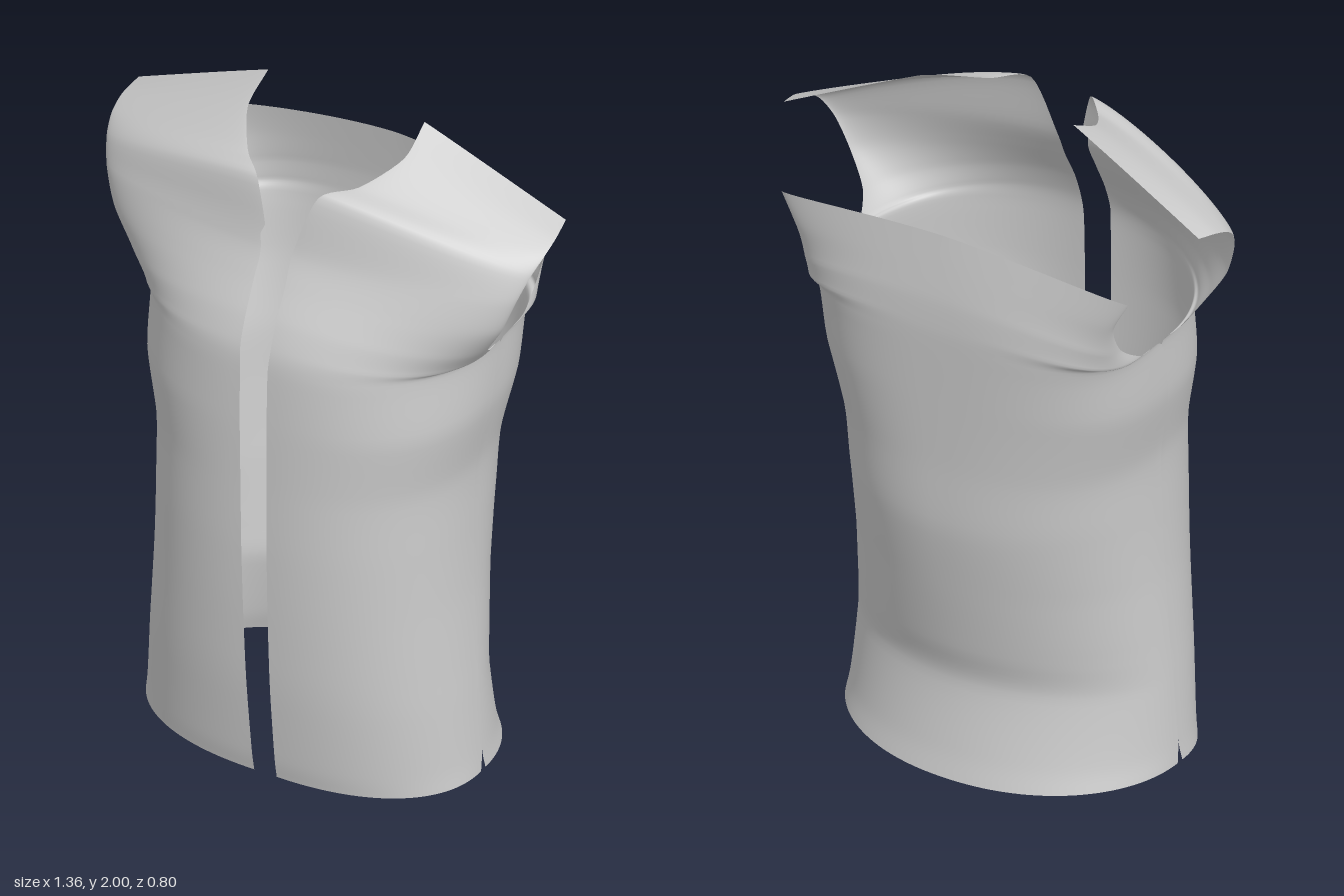
import * as THREE from 'three';

const cloth = new THREE.MeshStandardMaterial({ color: 0xcccccc, side: THREE.DoubleSide });

// Torso from hem to underarm: y, side x, side z, front z, back z, front roundness, back roundness
const torso = [
  [0.02, 0.505, 0.03, 0.345, -0.36, 0.9, 0.95],
  [0.09, 0.5, 0.03, 0.357, -0.337, 0.9, 0.98],
  [0.28, 0.488, 0.025, 0.377, -0.302, 0.9, 1.03],
  [0.4, 0.48, 0.02, 0.386, -0.325, 0.9, 1.03],
  [0.6, 0.468, 0.015, 0.395, -0.36, 0.9, 0.98],
  [0.8, 0.463, 0.01, 0.4, -0.388, 0.9, 0.9],
  [1.0, 0.465, 0, 0.4, -0.39, 0.9, 0.8],
  [1.2, 0.5, -0.02, 0.4, -0.395, 0.88, 0.7],
  [1.38, 0.505, -0.06, 0.395, -0.4, 0.9, 0.63],
];

// Rows above the underarm: centre x, y, z, then armhole x, y, z, then roundness (1 ellipse, 2 straight)
const frontTop = [
  [0.043, 1.45, 0.385, 0.515, 1.4, 0.01, 0.97],
  [0.043, 1.53, 0.355, 0.55, 1.46, 0.08, 1.1],
  [0.044, 1.62, 0.307, 0.605, 1.55, 0.105, 1.25],
  [0.045, 1.71, 0.267, 0.642, 1.65, 0.088, 1.35],
  [0.1, 1.885, 0.225, 0.665, 1.72, 0.05, 1.5],
  [0.18, 1.898, 0.14, 0.678, 1.76, 0, 1.65],
  [0.25, 1.945, 0.02, 0.68, 1.785, -0.06, 1.85],
  [0.25, 2, -0.09, 0.67, 1.8, -0.13, 1.95],
];
const backTop = [
  [0, 1.44, -0.4, 0.51, 1.4, -0.17, 0.66],
  [0, 1.52, -0.395, 0.502, 1.46, -0.26, 0.8],
  [0, 1.62, -0.38, 0.51, 1.55, -0.308, 1.05],
  [0, 1.71, -0.365, 0.56, 1.645, -0.31, 1.3],
];

const frontRows = [
  ...torso.map(([y, x, z, f, , p], i) => [0.04, y, f, x, y, i ? z : 0.043, p]),
  ...frontTop,
];
const backRows = [
  ...torso.map(([y, x, z, , b, , p], i) => [0, i ? y : 0, b, x, y, i ? z : 0.02, p]),
  ...backTop,
];

// Lofts a cloth panel: each row is a superellipse arc from its centre point to its side point.
// u runs from u0 to 1, where negative u mirrors the arc to the other side.
function panel(name, rows, u0, mirrored, flip) {
  const spline = (a) => new THREE.CatmullRomCurve3(
    rows.map((r) => new THREE.Vector3(r[a], r[a + 1], r[a + 2])), false, 'catmullrom', 0.4);
  const centre = spline(0), side = spline(3);
  const nv = (rows.length - 1) * 6, nu = u0 < 0 ? 72 : 36;
  const pos = [], index = [];
  for (let j = 0; j <= nv; j++) {
    const t = j / nv, c = centre.getPoint(t), e = side.getPoint(t);
    const k = Math.min(Math.floor(j / 6), rows.length - 2);
    const p = THREE.MathUtils.lerp(rows[k][6], rows[k + 1][6], j / 6 - k);
    // the right front opening leans slightly away from the left one
    if (mirrored) c.x += 0.02 * Math.min(c.y / 1.7, 1) * (c.y < 1.75 ? 1 : 0) - 0.01;
    for (let i = 0; i <= nu; i++) {
      const u = u0 + (1 - u0) * i / nu, a = Math.abs(u) * Math.PI / 2;
      const s = Math.sin(a), q = Math.max(Math.cos(a), 0);
      const x = c.x + (e.x - c.x) * s ** p;
      pos.push(
        (u < 0 || mirrored ? -1 : 1) * x,
        c.y + (e.y - c.y) * s * s,
        e.z + (c.z - e.z) * q ** p);
      if (i < nu && j < nv) {
        const A = j * (nu + 1) + i, B = A + 1, C = A + nu + 1, D = C + 1;
        if (flip) index.push(A, C, B, B, C, D);
        else index.push(A, B, C, B, D, C);
      }
    }
  }
  const g = new THREE.BufferGeometry();
  g.setAttribute('position', new THREE.Float32BufferAttribute(pos, 3));
  g.setIndex(index);
  g.computeVertexNormals();
  const mesh = new THREE.Mesh(g, cloth);
  mesh.name = name;
  return mesh;
}

export function createModel() {
  const vest = new THREE.Group();
  vest.name = 'openFrontVest';
  vest.add(
    panel('leftFrontPanel', frontRows, 0, false, false),
    panel('rightFrontPanel', frontRows, 0, true, true),
    panel('backPanel', backRows, -1, false, true),
  );
  return vest;
}
